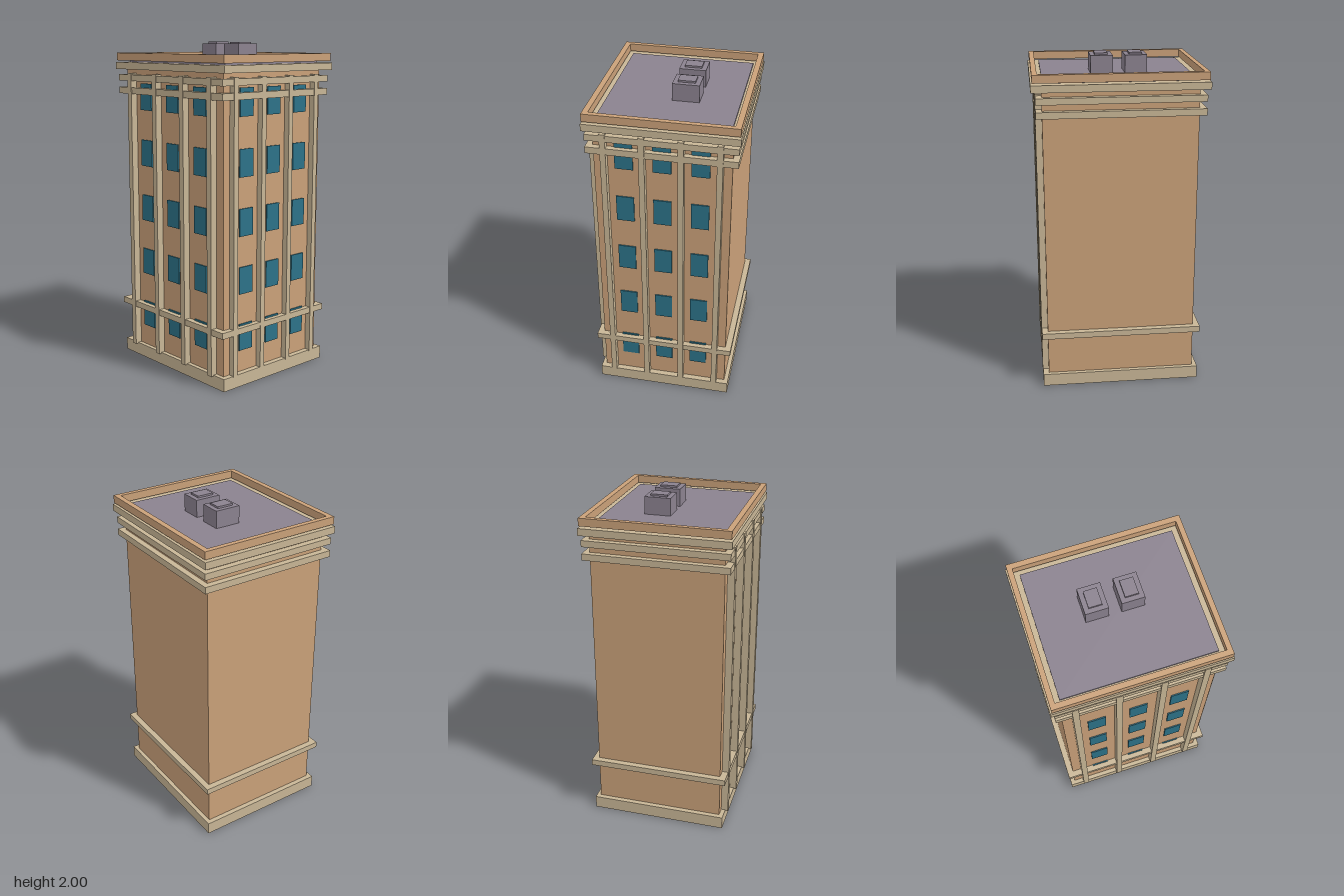
import * as THREE from 'three';

const material = (name, color) => {
  const m = new THREE.MeshStandardMaterial({ color });
  m.name = name;
  return m;
};

export function createModel() {
  const brick = material('brick', 0xcaa179);
  const stone = material('stone', 0xc8b696);
  const glass = material('glass', 0x2c7288);
  const roofing = material('roofing', 0x8b828f);

  const model = new THREE.Group();
  model.name = 'building';

  // Box given by its minimum and maximum on each axis
  const box = (name, mat, [x0, x1], [y0, y1], [z0, z1], parent = model) => {
    const mesh = new THREE.Mesh(new THREE.BoxGeometry(x1 - x0, y1 - y0, z1 - z0), mat);
    mesh.position.set((x0 + x1) / 2, (y0 + y1) / 2, (z0 + z1) / 2);
    mesh.name = name;
    parent.add(mesh);
    return mesh;
  };
  const around = (c, size) => [c - size / 2, c + size / 2];

  // Main volume
  box('base', stone, [-0.48, 0.479], [0, 0.077], [-0.415, 0.416]);
  box('walls', brick, [-0.45, 0.445], [0.05, 1.85], [-0.39, 0.39]);

  // Horizontal bands running round the whole building
  for (const [y0, y1] of [[0.323, 0.36], [1.685, 1.724], [1.764, 1.802]]) {
    box('band', stone, [-0.487, 0.48], [y0, y1], [-0.426, 0.428]);
  }
  box('cornice', stone, [-0.505, 0.505], [1.834, 1.876], [-0.436, 0.436]);
  box('roof', roofing, [-0.438, 0.438], [1.87, 1.886], [-0.376, 0.374]);

  // Parapet: hollow rim above the cornice
  const rim = new THREE.Shape();
  rim.moveTo(-0.497, -0.432).lineTo(0.497, -0.432).lineTo(0.497, 0.432).lineTo(-0.497, 0.432).closePath();
  const hole = new THREE.Path();
  hole.moveTo(-0.467, -0.399).lineTo(-0.467, 0.399).lineTo(0.467, 0.399).lineTo(0.467, -0.399).closePath();
  rim.holes.push(hole);
  const rimGeometry = new THREE.ExtrudeGeometry(rim, { depth: 0.046, bevelEnabled: false });
  rimGeometry.rotateX(-Math.PI / 2);
  const parapet = new THREE.Mesh(rimGeometry, brick);
  parapet.position.y = 1.887;
  parapet.name = 'parapet';
  model.add(parapet);

  // Rooftop units with a small raised lid
  for (const x of [-0.115, 0.086]) {
    const unit = new THREE.Group();
    unit.name = 'rooftopUnit';
    box('unitBody', roofing, around(x, 0.13), [1.88, 1.989], [-0.15, 0.005], unit);
    box('unitLid', roofing, around(x, 0.076), [1.98, 2], [-0.122, -0.022], unit);
    model.add(unit);
  }

  // Pilasters on the front and left faces
  for (const x of [-0.374, -0.129, 0.124, 0.367]) {
    box('frontPilaster', stone, around(x, 0.037), [0.07, 1.81], [0.38, 0.432]);
  }
  for (const z of [-0.325, -0.109, 0.11, 0.327]) {
    box('sidePilaster', stone, [0.435, 0.482], [0.07, 1.81], around(z, 0.033));
  }

  // Window plates on the same two faces, five floors of three
  for (let floor = 0; floor < 5; floor++) {
    const y = around(0.289 + floor * 0.345, 0.162);
    for (const x of [-0.255, -0.003, 0.248]) {
      box('frontWindow', glass, around(x, 0.107), y, [0.389, 0.397]);
    }
    for (const z of [-0.216, 0.001, 0.218]) {
      box('sideWindow', glass, [0.444, 0.452], y, around(z, 0.104));
    }
  }

  return model;
}
